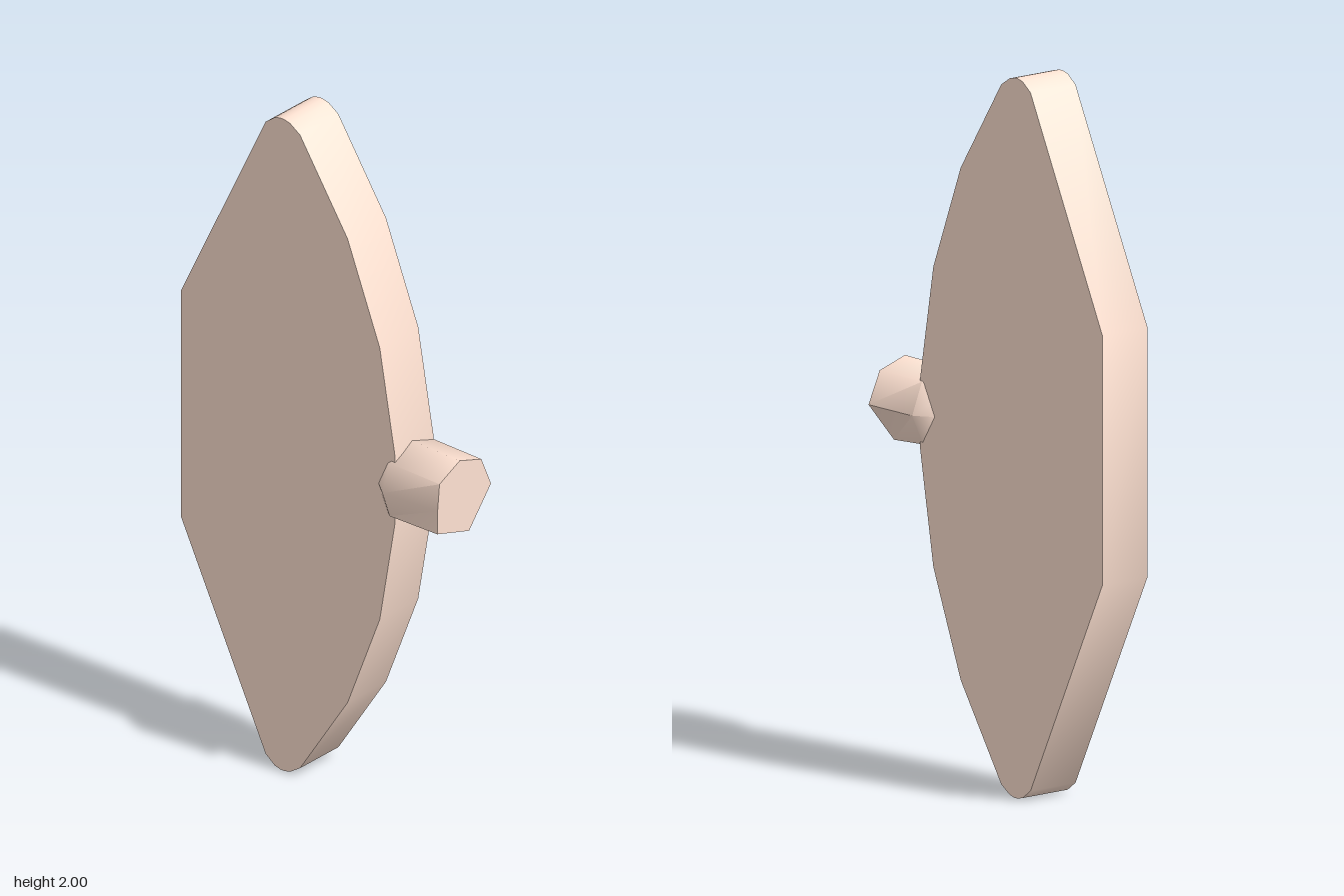
import * as THREE from 'three';
import { toCreasedNormals } from 'three/addons/utils/BufferGeometryUtils.js';

const material = new THREE.MeshStandardMaterial({ color: 0xffe2d2 });

// Flat plate: upper half outline, mirrored about y = 1
function plate() {
  const upper = [[0.295, 1.1], [0.24, 1.417], [0.125, 1.712], [-0.045, 1.972], [-0.08, 1.995],
    [-0.1, 2], [-0.115, 2], [-0.135, 1.995], [-0.168, 1.97], [-0.47, 1.347]];
  const lower = upper.map(([x, y]) => [x, 2 - y]).reverse();
  const shape = new THREE.Shape([...upper, ...lower].map(p => new THREE.Vector2(...p)));
  const depth = 0.16;
  const geometry = new THREE.ExtrudeGeometry(shape, { depth, bevelEnabled: false });
  geometry.translate(0, 0, -depth / 2);
  const mesh = new THREE.Mesh(toCreasedNormals(geometry, 0.6), material);
  mesh.name = 'plate';
  mesh.position.z = 0.0085;
  mesh.rotation.y = 0.021;
  return mesh;
}

// Faceted peg: irregular eight-sided rings of [z, y], counterclockwise from +x, lofted along x
function peg() {
  const base = [[-0.114, 1], [-0.08, 1.09], [0.008, 1.12], [0.09, 1.08],
    [0.119, 1], [0.09, 0.918], [0, 0.882], [-0.075, 0.915]];
  const tip = [[-0.119, 1], [-0.08, 1.09], [0.008, 1.12], [0.09, 1.08],
    [0.098, 1], [0.099, 0.93], [0.035, 0.91], [-0.03, 0.89]];
  const root = base.map(([z, y]) => [z * 0.64, 1 + (y - 1) * 0.64]);
  const rings = [[0.228, root], [0.283, base], [0.465, tip]];
  const n = base.length;
  const positions = [], index = [];
  for (const [x, ring] of rings) for (const [z, y] of ring) positions.push(x, y, z);
  for (let r = 0; r < rings.length - 1; r++) {
    for (let i = 0; i < n; i++) {
      const a = r * n + i, b = r * n + (i + 1) % n;
      index.push(a, b, a + n, b, b + n, a + n);
    }
  }
  // End caps
  const last = (rings.length - 1) * n;
  for (let i = 1; i < n - 1; i++) {
    index.push(0, i + 1, i);
    index.push(last, last + i, last + i + 1);
  }
  const geometry = new THREE.BufferGeometry();
  geometry.setAttribute('position', new THREE.Float32BufferAttribute(positions, 3));
  geometry.setIndex(index);
  const mesh = new THREE.Mesh(toCreasedNormals(geometry, 1.0), material);
  mesh.name = 'peg';
  return mesh;
}

export function createModel() {
  const group = new THREE.Group();
  group.name = 'plateWithPeg';
  group.add(plate(), peg());
  return group;
}
